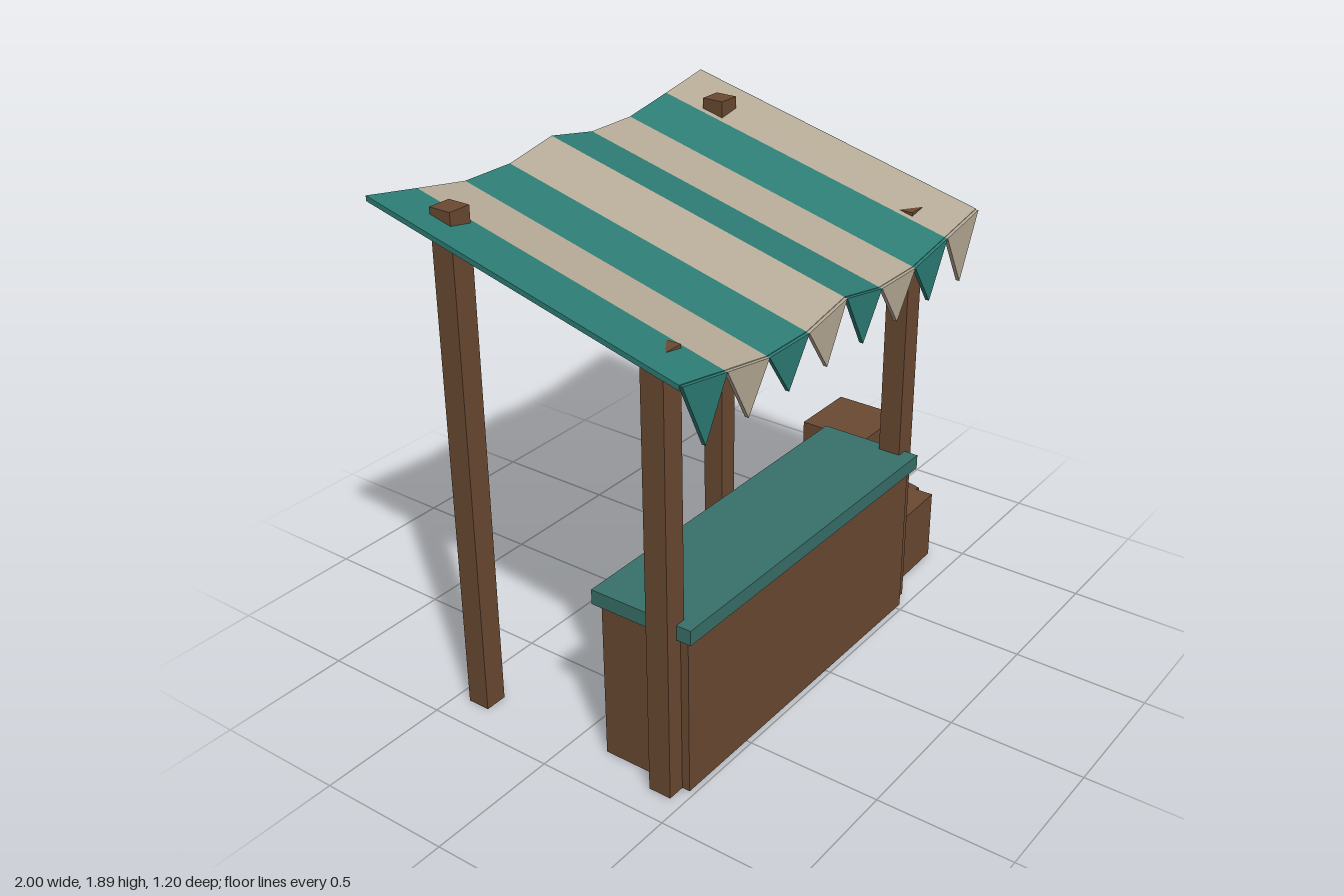
import * as THREE from 'three';

const mat = (color, side = THREE.FrontSide) =>
  new THREE.MeshStandardMaterial({ color, flatShading: true, side });

export function createModel() {
  const group = new THREE.Group();
  group.name = 'marketStall';
  const wood = mat(0x6b4a32);
  const teal = mat(0x2d7d75);
  const cream = mat(0xb5aa96);
  const topTeal = mat(0x38706a);

  const add = (name, geometry, material) => {
    const mesh = new THREE.Mesh(geometry, material);
    mesh.name = name;
    group.add(mesh);
    return mesh;
  };
  // Box from its min and max on each axis
  const box = (name, [x0, x1], [y0, y1], [z0, z1], material) => {
    const mesh = add(name, new THREE.BoxGeometry(x1 - x0, y1 - y0, z1 - z0), material);
    mesh.position.set((x0 + x1) / 2, (y0 + y1) / 2, (z0 + z1) / 2);
    return mesh;
  };
  // Polygon in the xy plane, extruded from z0 to z1
  const prism = (points, z0, z1) => {
    const shape = new THREE.Shape(points.map(([x, y]) => new THREE.Vector2(x, y)));
    return new THREE.ExtrudeGeometry(shape, { depth: z1 - z0, bevelEnabled: false })
      .translate(0, 0, z0);
  };

  // Counter with overhanging top
  box('counterBody', [-0.825, 0.53], [0, 0.6], [0.13, 0.48], wood);
  box('counterTop', [-0.845, 0.555], [0.6, 0.655], [0.105, 0.505], topTeal);

  // Four posts, the rear pair taller
  for (const x of [-0.848, 0.558]) {
    const span = [x - 0.043, x + 0.043];
    box('frontPost', span, [0, 1.606], [0.364, 0.45], wood);
    box('rearPost', span, [0, 1.855], [-0.444, -0.358], wood);
  }

  // Sloped, sagging canopy in stripes, each ending in a pennant
  const sag = [1.59, 1.552, 1.515, 1.515, 1.555, 1.515, 1.515, 1.552, 1.59];
  const stripe = 1.71 / 8, thickness = 0.018, front = 0.6, slope = 0.25;
  const slab = (x0, y0, x1, y1) => {
    const geo = prism(
      [[x0, y0 - thickness], [x1, y1 - thickness], [x1, y1], [x0, y0]], -front, 0.59);
    const p = geo.attributes.position;
    for (let i = 0; i < p.count; i++) p.setY(i, p.getY(i) + slope * (front - p.getZ(i)));
    geo.computeVertexNormals();
    return geo;
  };
  for (let i = 0; i < 8; i++) {
    const x0 = -1 + i * stripe, x1 = x0 + stripe;
    const material = i % 2 ? cream : teal;
    add('canopyStripe', slab(x0, sag[i], x1, sag[i + 1]), material);
    add('pennant',
      prism([[x0, sag[i]], [(x0 + x1) / 2, 1.36], [x1, sag[i + 1]]], 0.588, 0.602), material);
  }
  add('canopyEdge', slab(0.71, 1.59, 0.713, 1.59), teal);

  // Stacked crates beside the counter
  const crate = (name, x, y, z, turn) => {
    const mesh = add(name, new THREE.BoxGeometry(0.275, 0.277, 0.275), wood);
    mesh.position.set(x, y, z);
    mesh.rotation.y = turn;
  };
  crate('frontCrate', 0.778, 0.1385, 0.252, 0.03);
  crate('rearCrate', 0.835, 0.1385, 0.15, -0.245);
  crate('upperCrate', 0.831, 0.4155, 0.052, 0);

  return group;
}
